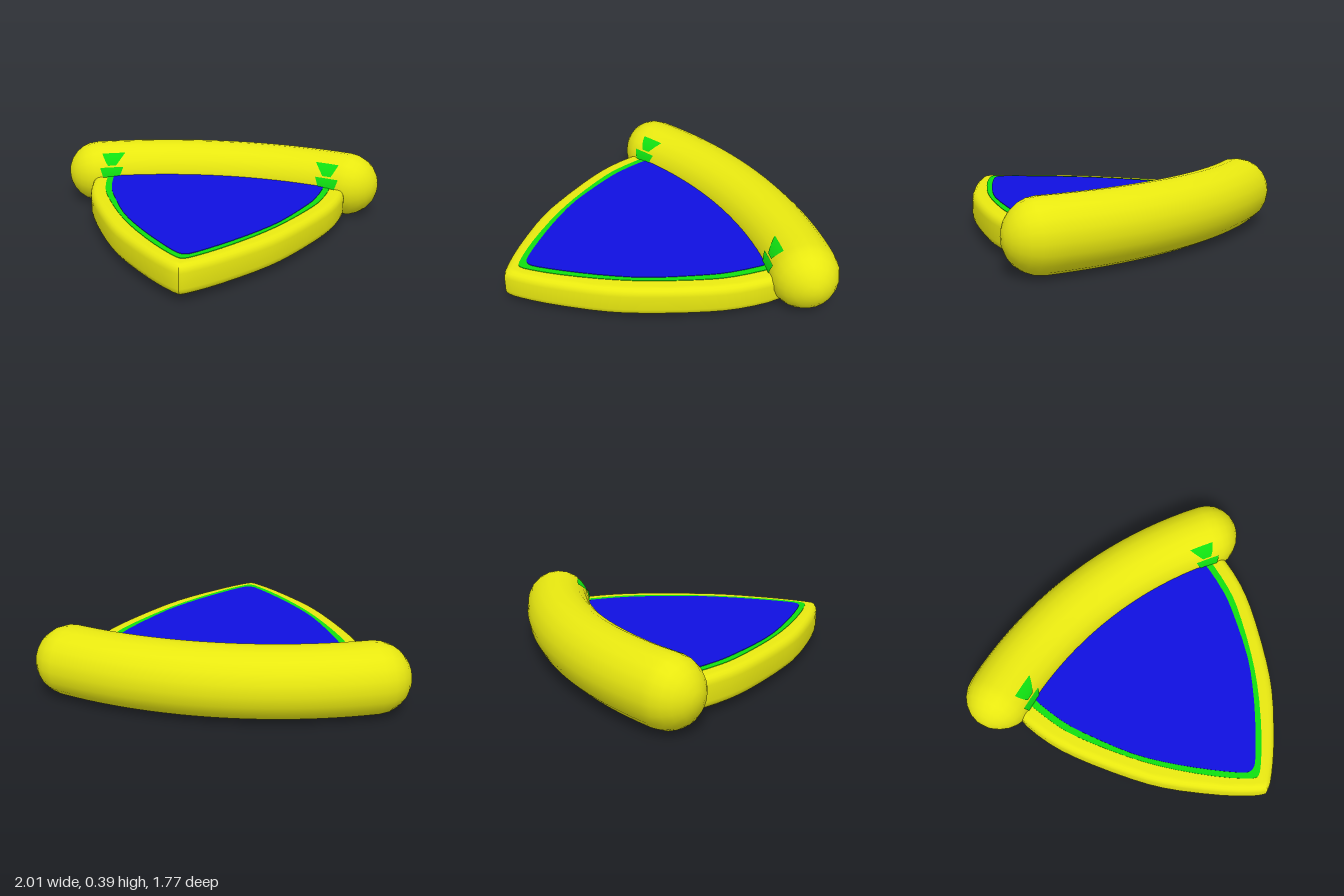
import * as THREE from 'three';
import { mergeVertices, toCreasedNormals } from 'three/addons/utils/BufferGeometryUtils.js';

const yellow = new THREE.MeshStandardMaterial({ color: 0xe8e810 });
const green = new THREE.MeshStandardMaterial({ color: 0x10e010, side: THREE.DoubleSide });
const blue = new THREE.MeshStandardMaterial({ color: 0x1010e0 });

// Crust: a tube of radius TUBE along an arc of radius ARC
const ARC = 2.3, HALF_ANGLE = 0.36, TUBE = 0.195, CRUST_Y = 0.197, BACK_Z = -0.7;

function part(name, geometry, material) {
  const mesh = new THREE.Mesh(geometry, material);
  mesh.name = name;
  return mesh;
}

// Mirrored outline: a curved flank from the tip back to the crust, then a bowed back edge
function sliceShape(flank) {
  const right = new THREE.SplineCurve(flank.map(([x, z]) => new THREE.Vector2(x, z))).getPoints(20);
  const [ex, ez] = flank[flank.length - 1];
  const back = [new THREE.Vector2(ex * 0.55, ez - 0.09)];
  const half = [...right, ...back];
  const left = half.slice(1).reverse().map((p) => new THREE.Vector2(-p.x, p.y));
  return new THREE.Shape([...half, new THREE.Vector2(0, ez - 0.12), ...left]);
}

// Lays an extruded outline flat with its top at the given height
function slab(flank, top, thickness, bevel = 0) {
  const geometry = new THREE.ExtrudeGeometry(sliceShape(flank), {
    depth: thickness - 2 * bevel, bevelEnabled: bevel > 0,
    bevelThickness: bevel, bevelSize: bevel * 0.9, bevelOffset: -bevel * 0.9, bevelSegments: 4,
  });
  geometry.rotateX(Math.PI / 2).translate(0, top - bevel, 0);
  return toCreasedNormals(geometry, 0.6);
}

// Bends a straight capsule along the arc
function crustGeometry() {
  let geometry = new THREE.CapsuleGeometry(TUBE, 2 * ARC * HALF_ANGLE, 6, 20, 20);
  geometry.rotateZ(Math.PI / 2);
  geometry.deleteAttribute('uv');
  geometry.deleteAttribute('normal');
  geometry = mergeVertices(geometry, 1e-4);
  const p = geometry.attributes.position;
  for (let i = 0; i < p.count; i++) {
    const angle = p.getX(i) / ARC, r = ARC - p.getZ(i);
    p.setXYZ(i, r * Math.sin(angle), p.getY(i) + CRUST_Y, BACK_Z + ARC - r * Math.cos(angle));
  }
  geometry.computeVertexNormals();
  return geometry;
}

// A tapered patch wrapped on the inner face of the crust
function crustPatch(x, y0, y1, width0, width1) {
  const geometry = new THREE.PlaneGeometry(1, 1, 6, 6);
  const p = geometry.attributes.position;
  for (let i = 0; i < p.count; i++) {
    const t = p.getY(i) + 0.5;
    const y = y0 + (y1 - y0) * t;
    const px = x + p.getX(i) * (width0 + (width1 - width0) * t);
    const r = ARC - Math.sqrt(TUBE ** 2 - (y - CRUST_Y) ** 2) - 0.005;
    p.setXYZ(i, px, y, BACK_Z + ARC - Math.sqrt(r * r - px * px));
  }
  geometry.computeVertexNormals();
  return geometry;
}

export function createModel() {
  const group = new THREE.Group();
  group.name = 'slice';

  // Wedge base with rounded edges
  const baseFlank = [[0, 0.88], [0.06, 0.845], [0.2, 0.72], [0.4, 0.5], [0.53, 0.31],
    [0.68, 0.03], [0.76, -0.17], [0.8, -0.38], [0.78, -0.53]];
  group.add(part('base', slab(baseFlank, 0.215, 0.175, 0.045), yellow));

  // Sauce rim and topping, each slightly above the layer beneath
  const sauceFlank = [[0, 0.79], [0.045, 0.765], [0.18, 0.63], [0.35, 0.42], [0.48, 0.22],
    [0.61, -0.03], [0.67, -0.19], [0.71, -0.4], [0.7, -0.5]];
  group.add(part('sauce', slab(sauceFlank, 0.218, 0.03), green));
  const toppingFlank = [[0, 0.74], [0.045, 0.72], [0.17, 0.59], [0.32, 0.41], [0.45, 0.22],
    [0.57, -0.03], [0.63, -0.19], [0.67, -0.4], [0.66, -0.5]];
  group.add(part('topping', slab(toppingFlank, 0.221, 0.03), blue));

  // Thick rounded crust
  group.add(part('crust', crustGeometry(), yellow));

  // Sauce spots on the crust, two at each end
  for (const side of [1, -1]) {
    group.add(part('lowerCrustSpot', crustPatch(side * 0.685, 0.215, 0.275, 0.1, 0.14), green));
    group.add(part('upperCrustSpot', crustPatch(side * 0.685, 0.285, 0.352, 0.05, 0.14), green));
  }

  // Irregular sauce spots on the underside
  const spots = [
    [[0.68, -0.42], [0.32, -0.27], [0.04, -0.26], [0.08, 0.05], [0.36, 0.18], [0.25, 0.52], [0.44, 0.24], [0.59, -0.12]],
    [[-0.01, -0.39], [-0.69, -0.38], [-0.59, -0.06], [-0.32, 0.3], [-0.15, 0.23], [-0.12, -0.15]],
    [[0.05, 0.11], [-0.05, 0.48], [0.09, 0.49], [0.15, 0.32]],
    [[0, 0.79], [0.02, 0.69], [-0.27, 0.51], [-0.08, 0.74]],
  ];
  for (const spot of spots) {
    const shape = new THREE.Shape(spot.map(([x, z]) => new THREE.Vector2(x, z)));
    const geometry = new THREE.ShapeGeometry(shape).rotateX(Math.PI / 2).translate(0, 0.037, 0);
    group.add(part('undersideSpot', geometry, green));
  }
  return group;
}
